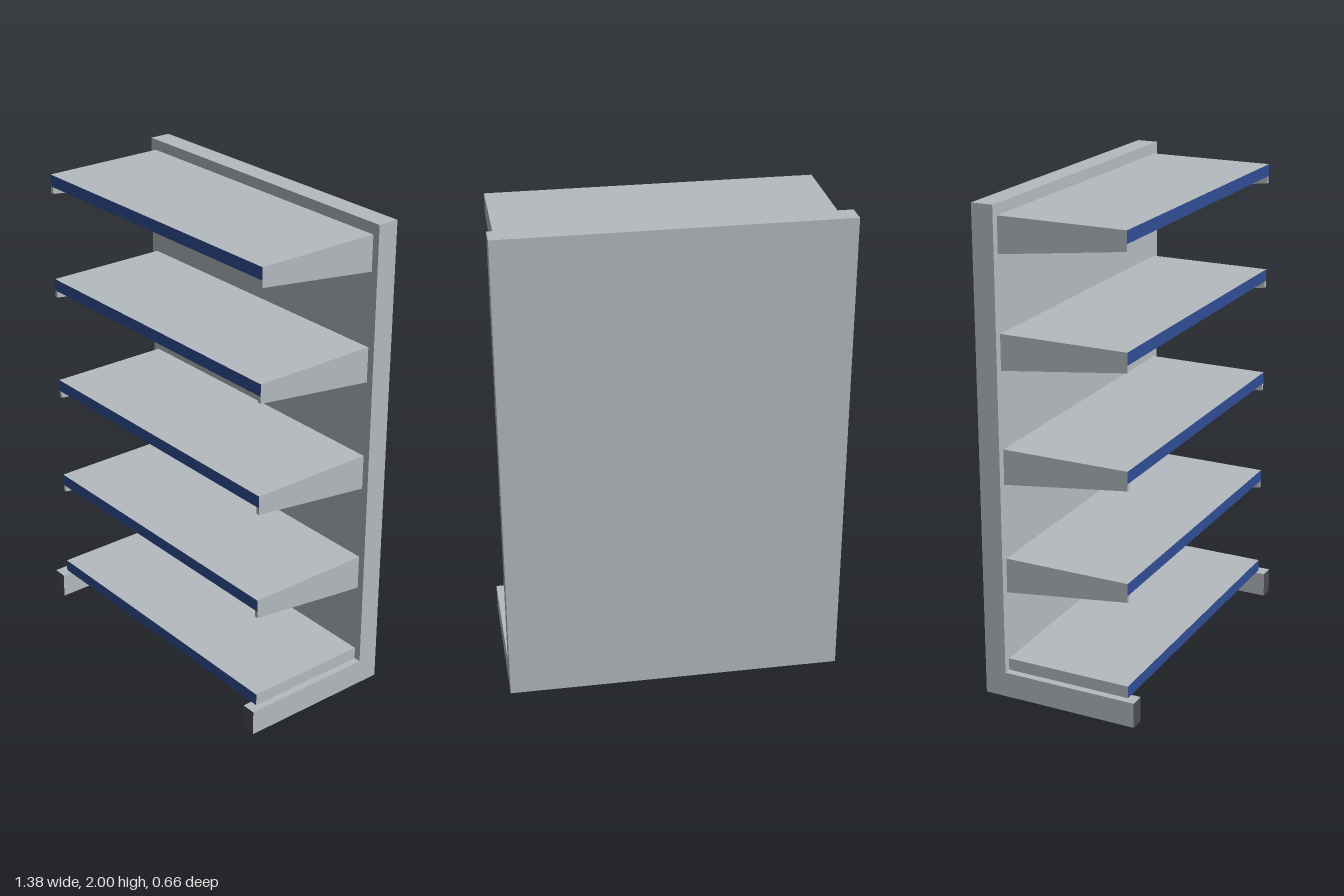
import * as THREE from 'three';

const mat = (name, color) => {
  const m = new THREE.MeshStandardMaterial({ color });
  m.name = name;
  return m;
};

export function createModel() {
  const grey = mat('light grey metal', 0xb4babf);
  const blue = mat('blue price strip', 0x304c94);
  const dark = mat('dark grey cap', 0x4a4d50);
  const model = new THREE.Group();
  model.name = 'shelvingUnit';

  // Box given by its limits; the front (+z) face can have its own colour
  const box = (name, x0, x1, y0, y1, z0, z1, front = grey) => {
    const geo = new THREE.BoxGeometry(x1 - x0, y1 - y0, z1 - z0);
    const mesh = new THREE.Mesh(geo, [grey, grey, grey, grey, front, grey]);
    mesh.position.set((x0 + x1) / 2, (y0 + y1) / 2, (z0 + z1) / 2);
    mesh.name = name;
    return mesh;
  };

  const backZ = -0.33, panelZ = -0.24, shelfZ = 0.29, footZ = 0.33;
  const halfW = 0.69, shelfHalf = 0.66, shelfT = 0.05;

  // Back panel
  model.add(box('backPanel', -halfW, halfW, 0, 2, backZ, panelZ));

  // Base feet with dark front ends
  model.add(box('leftFoot', 0.63, halfW, 0, 0.105, panelZ, footZ, dark));
  model.add(box('rightFoot', -halfW, -0.63, 0, 0.105, panelZ, footZ, dark));

  // Tapered bracket profile, drawn as (z, y) below the shelf top
  const profile = new THREE.Shape([
    new THREE.Vector2(panelZ, -0.145),
    new THREE.Vector2(shelfZ, -0.078),
    new THREE.Vector2(shelfZ, -shelfT),
    new THREE.Vector2(panelZ, -shelfT),
  ]);
  const thickness = 0.015;
  const bracketGeo = new THREE.ExtrudeGeometry(profile, { depth: thickness, bevelEnabled: false });
  bracketGeo.rotateY(-Math.PI / 2); // shape x becomes z, depth runs to -x

  // Shelves with blue front edges; all but the lowest rest on brackets
  [0.155, 0.59, 1.045, 1.505, 1.955].forEach((top, i) => {
    const shelf = new THREE.Group();
    shelf.name = `shelf${i + 1}`;
    shelf.add(box('shelfBoard', -shelfHalf, shelfHalf, top - shelfT, top, panelZ, shelfZ, blue));
    if (i > 0) {
      for (const [name, x] of [['leftBracket', shelfHalf], ['rightBracket', -shelfHalf + thickness]]) {
        const bracket = new THREE.Mesh(bracketGeo, grey);
        bracket.name = name;
        bracket.position.set(x, top, 0);
        shelf.add(bracket);
      }
    }
    model.add(shelf);
  });

  return model;
}
